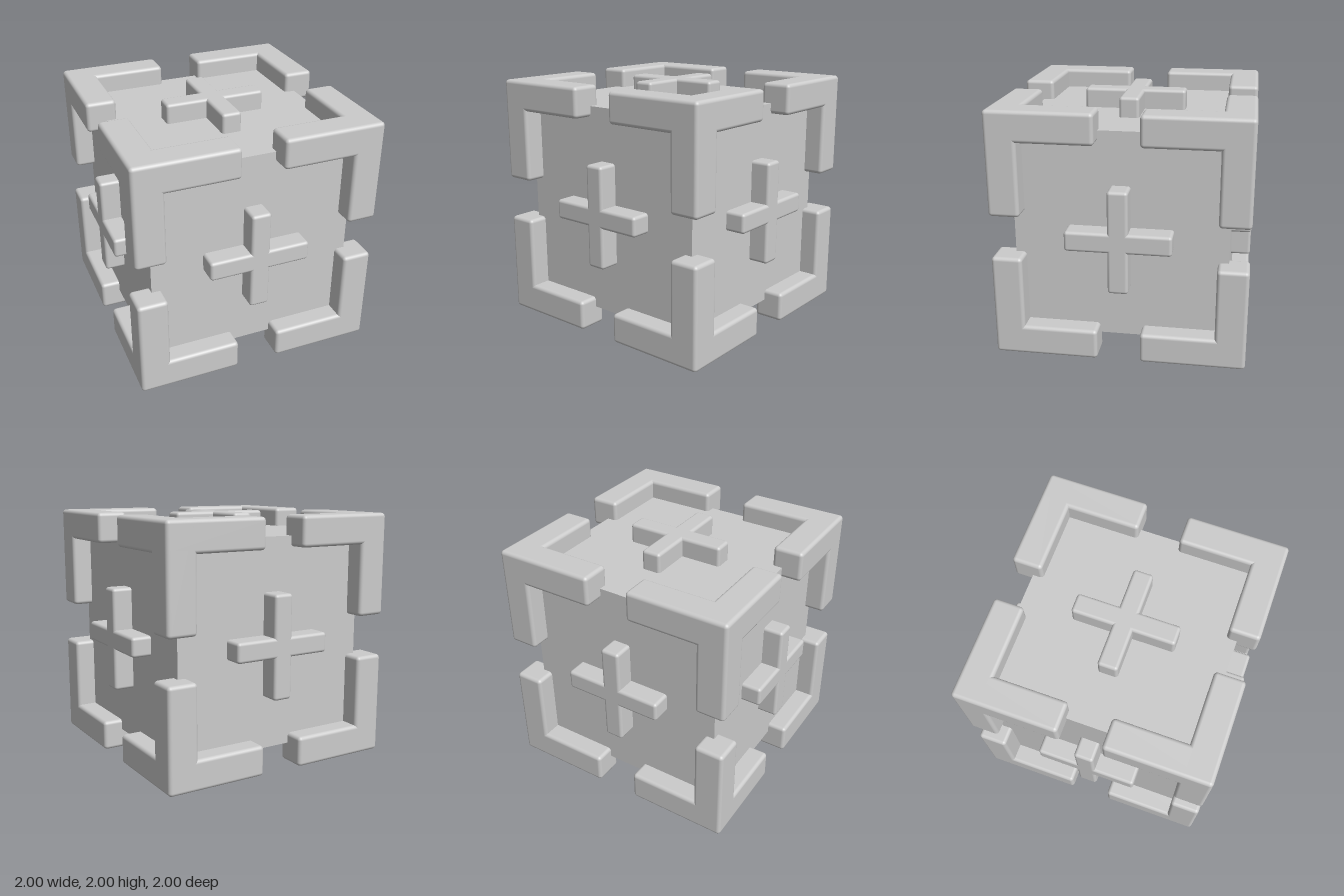
import * as THREE from 'three';
import { RoundedBoxGeometry } from 'three/addons/geometries/RoundedBoxGeometry.js';

const CORE = 0.84;        // half size of the inner cube
const ARM_INNER = 0.755;  // inner face of the corner brackets
const ARM_END = 0.17;     // where each bracket arm stops
const CROSS_LENGTH = 0.83;
const CROSS_WIDTH = 0.16;

export function createModel() {
  const model = new THREE.Group();
  model.name = 'crate';
  const body = new THREE.Group();
  body.name = 'body';
  body.position.y = 1;
  model.add(body);
  const material = new THREE.MeshStandardMaterial({ color: 0xcccccc });

  // Inner cube
  const core = new THREE.Mesh(new THREE.BoxGeometry(2 * CORE, 2 * CORE, 2 * CORE), material);
  core.name = 'core';
  body.add(core);

  // Corner brackets: three rounded arms meeting at each corner
  const thick = 1 - ARM_INNER, length = 1 - ARM_END;
  const armMid = (1 + ARM_END) / 2, thickMid = (1 + ARM_INNER) / 2;
  const arms = ['x', 'y', 'z'].map((axis) => {
    const size = new THREE.Vector3(thick, thick, thick);
    const centre = new THREE.Vector3(thickMid, thickMid, thickMid);
    size[axis] = length;
    centre[axis] = armMid;
    return { axis, centre, geometry: new RoundedBoxGeometry(size.x, size.y, size.z, 4, 0.03) };
  });
  for (const sx of [-1, 1]) for (const sy of [-1, 1]) for (const sz of [-1, 1]) {
    const bracket = new THREE.Group();
    bracket.name = 'cornerBracket';
    for (const { axis, centre, geometry } of arms) {
      const arm = new THREE.Mesh(geometry, material);
      arm.name = `bracketArm${axis.toUpperCase()}`;
      arm.position.set(centre.x * sx, centre.y * sy, centre.z * sz);
      bracket.add(arm);
    }
    body.add(bracket);
  }

  // Raised cross on each face, sunk slightly into the core
  const depth = 0.22;
  const horizontal = new RoundedBoxGeometry(CROSS_LENGTH, CROSS_WIDTH, depth, 4, 0.025);
  const vertical = new RoundedBoxGeometry(CROSS_WIDTH, CROSS_LENGTH, depth, 4, 0.025);
  const faces = {
    front: [0, 0], left: [0, Math.PI / 2], back: [0, Math.PI], right: [0, -Math.PI / 2],
    top: [-Math.PI / 2, 0], bottom: [Math.PI / 2, 0],
  };
  for (const [name, [rx, ry]] of Object.entries(faces)) {
    const cross = new THREE.Group();
    cross.name = `${name}Cross`;
    cross.rotation.set(rx, ry, 0);
    for (const [barName, geometry] of [['horizontalBar', horizontal], ['verticalBar', vertical]]) {
      const bar = new THREE.Mesh(geometry, material);
      bar.name = barName;
      bar.position.z = 1 - depth / 2;
      cross.add(bar);
    }
    body.add(cross);
  }
  return model;
}
